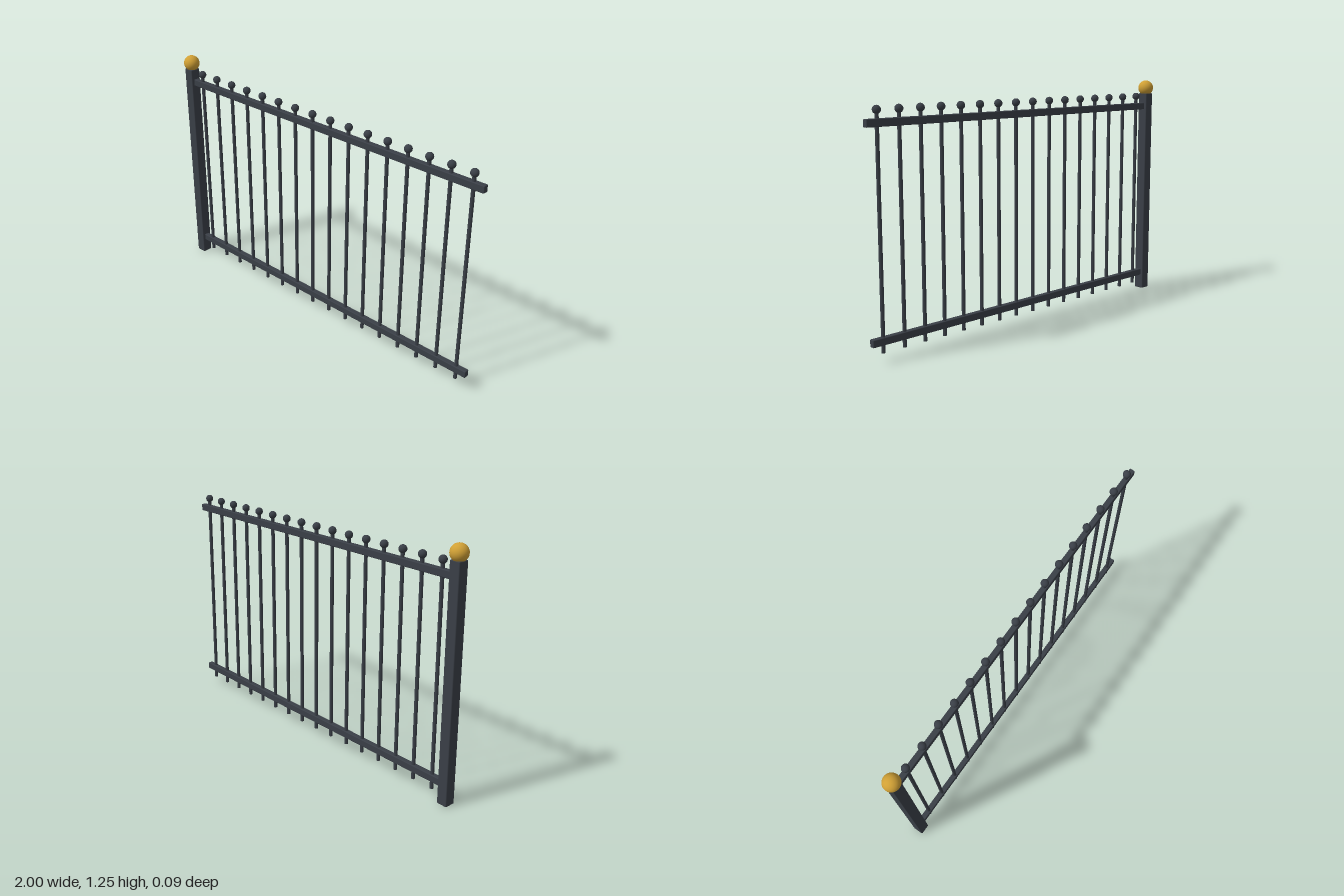
import * as THREE from 'three';
import { RoundedBoxGeometry } from 'three/addons/geometries/RoundedBoxGeometry.js';

export function createModel() {
  const fence = new THREE.Group();
  fence.name = 'fencePanel';

  const iron = new THREE.MeshStandardMaterial({ color: 0x3a3f47 });
  iron.name = 'dark iron';
  const brass = new THREE.MeshStandardMaterial({ color: 0xd0a035 });
  brass.name = 'brass';

  const add = (name, geometry, material, x, y) => {
    const mesh = new THREE.Mesh(geometry, material);
    mesh.name = name;
    mesh.position.set(x, y, 0);
    fence.add(mesh);
  };

  // End post with its ball cap
  const postX = -0.957;
  add('post', new RoundedBoxGeometry(0.057, 1.174, 0.057, 2, 0.005), iron, postX, 0.587);
  add('postBall', new THREE.SphereGeometry(0.043, 32, 20), brass, postX, 1.205);

  // Horizontal rails, running from the post to the open end
  const railStart = -0.93, railEnd = 1;
  const railGeo = new RoundedBoxGeometry(railEnd - railStart, 0.037, 0.029, 2, 0.004);
  add('bottomRail', railGeo, iron, (railStart + railEnd) / 2, 0.1);
  add('topRail', railGeo, iron, (railStart + railEnd) / 2, 1.1);

  // Sixteen evenly spaced bars, each topped by a small knob
  const count = 16, firstX = -0.868, lastX = 0.937;
  const barBottom = 0.042, barTop = 1.15;
  const barGeo = new THREE.CylinderGeometry(0.0095, 0.0095, barTop - barBottom, 12);
  const knobGeo = new THREE.SphereGeometry(0.0205, 16, 12);
  for (let i = 0; i < count; i++) {
    const x = firstX + ((lastX - firstX) * i) / (count - 1);
    add('bar' + (i + 1), barGeo, iron, x, (barBottom + barTop) / 2);
    add('knob' + (i + 1), knobGeo, iron, x, 1.158);
  }

  return fence;
}
